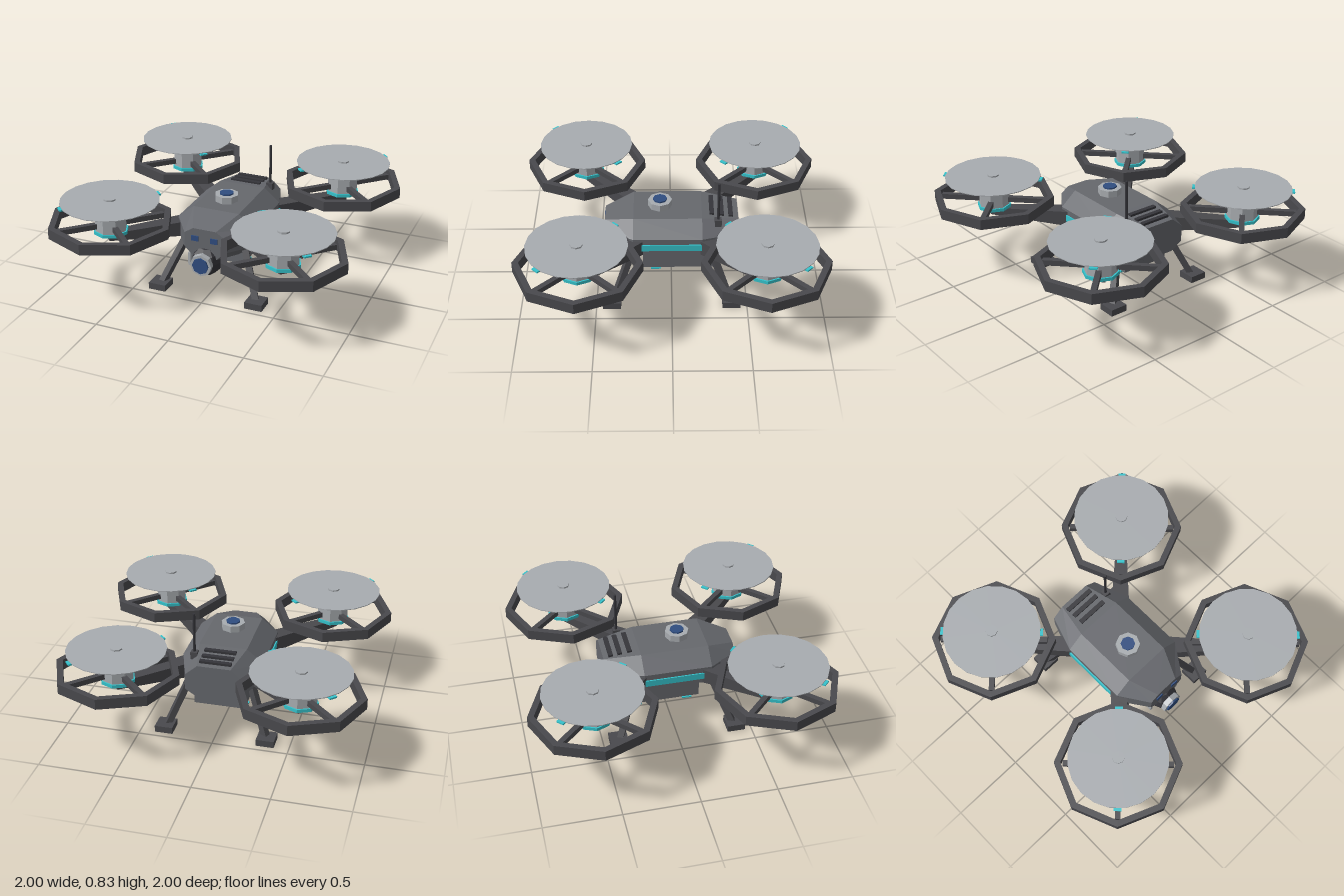
import * as THREE from 'three';

const mat = (name, color) => {
  const m = new THREE.MeshStandardMaterial({ color, flatShading: true });
  m.name = name;
  return m;
};

export function createModel() {
  const shell = mat('shell grey', 0x66686d);
  const frame = mat('frame dark grey', 0x49494d);
  const dark = mat('near black', 0x35353a);
  const light = mat('light grey', 0xa8acb0);
  const cyan = mat('cyan accent', 0x36c3cc);
  const blue = mat('lens blue', 0x2f4d80);

  const model = new THREE.Group();
  model.name = 'quadDrone';
  const add = (name, geo, material, x = 0, y = 0, z = 0, parent = model) => {
    const mesh = new THREE.Mesh(geo, material);
    mesh.name = name;
    mesh.position.set(x, y, z);
    parent.add(mesh);
    return mesh;
  };
  const box = (w, h, d) => new THREE.BoxGeometry(w, h, d);
  const cyl = (r, h, n = 8, r2 = r) => new THREE.CylinderGeometry(r, r2, h, n);
  // Square bar between two points
  const bar = (name, a, b, t, material, parent = model) => {
    const from = new THREE.Vector3(...a), to = new THREE.Vector3(...b);
    const mesh = add(name, box(t, t, from.distanceTo(to)), material, 0, 0, 0, parent);
    mesh.position.copy(from).add(to).multiplyScalar(0.5);
    mesh.quaternion.setFromUnitVectors(new THREE.Vector3(0, 0, 1), to.sub(from).normalize());
    return mesh;
  };

  // Hull: eight-sided sections joined from back to front
  const stations = [ // z, half width, top half width, top, upper edge, lower edge, bottom
    [-0.44, 0.19, 0.11, 0.53, 0.46, 0.35, 0.30],
    [-0.20, 0.27, 0.16, 0.56, 0.47, 0.35, 0.27],
    [0.25, 0.27, 0.16, 0.56, 0.47, 0.35, 0.27],
    [0.44, 0.14, 0.08, 0.50, 0.46, 0.36, 0.30],
  ];
  const rings = stations.map(([z, w, a, top, up, low, bot]) => [
    [a, bot, z], [w, low, z], [w, up, z], [a, top, z],
    [-a, top, z], [-w, up, z], [-w, low, z], [-a, bot, z],
  ]);
  const pos = [];
  const tri = (...p) => p.forEach((v) => pos.push(...v));
  for (let i = 0; i < rings.length - 1; i++) {
    for (let j = 0; j < 8; j++) {
      const k = (j + 1) % 8, r = rings[i], s = rings[i + 1];
      tri(r[j], r[k], s[k]);
      tri(r[j], s[k], s[j]);
    }
  }
  const back = rings[0], nose = rings[rings.length - 1];
  for (let j = 1; j < 7; j++) {
    tri(nose[0], nose[j], nose[j + 1]);
    tri(back[0], back[j + 1], back[j]);
  }
  const hull = new THREE.BufferGeometry();
  hull.setAttribute('position', new THREE.Float32BufferAttribute(pos, 3));
  hull.computeVertexNormals();
  add('hull', hull, shell);

  // Belly battery box with cyan straps
  add('batteryBox', box(0.34, 0.12, 0.49), shell, 0, 0.23, -0.055);
  for (const z of [0.105, -0.235]) add('batteryStrap', box(0.36, 0.009, 0.065), cyan, 0, 0.166, z);

  // Rear vents, antenna and top sensor
  for (const [z, y] of [[-0.39, 0.54], [-0.33, 0.547], [-0.265, 0.555]]) {
    add('vent', box(0.21, 0.02, 0.03), dark, 0, y, z);
  }
  add('antennaBase', box(0.045, 0.05, 0.045), frame, 0.163, 0.535, -0.305);
  add('antenna', cyl(0.009, 0.29, 6), dark, 0.163, 0.685, -0.305);
  add('sensorRing', cyl(0.08, 0.05), light, 0, 0.58, 0.075);
  add('sensorLens', cyl(0.047, 0.02), blue, 0, 0.605, 0.075);

  // Nose windows and gimbal camera
  for (const s of [-1, 1]) {
    add('noseWindow', box(0.05, 0.036, 0.009), blue, s * 0.066, 0.432, 0.443);
    add('sideStripe', box(0.009, 0.045, 0.4), cyan, s * 0.274, 0.408, 0);
    add('gimbalBracket', box(0.018, 0.09, 0.05), light, s * 0.115, 0.265, 0.4);
  }
  add('cameraBall', new THREE.SphereGeometry(0.105, 8, 6), dark, 0, 0.275, 0.4);
  add('gimbalMount', box(0.1, 0.08, 0.1), dark, 0, 0.33, 0.36);
  add('lensRing', cyl(0.075, 0.04), light, 0, 0.275, 0.485).rotation.x = Math.PI / 2;
  add('lens', cyl(0.056, 0.02), blue, 0, 0.275, 0.505).rotation.x = Math.PI / 2;

  // Tapered arm, thick at the hull and thin at the motor
  const armGeo = box(0.58, 0.11, 0.12);
  const p = armGeo.attributes.position;
  for (let i = 0; i < p.count; i++) {
    if (p.getX(i) > 0) p.setXYZ(i, p.getX(i), p.getY(i) * 0.45 + 0.02, p.getZ(i) * 0.5);
  }
  // Eight-sided rotor guard
  const octagon = (Type, r) => {
    const path = new Type();
    for (let i = 0; i < 8; i++) {
      const a = (i * Math.PI) / 4;
      path[i ? 'lineTo' : 'moveTo'](r * Math.cos(a), r * Math.sin(a));
    }
    path.closePath();
    return path;
  };
  const guardShape = octagon(THREE.Shape, 0.41);
  guardShape.holes.push(octagon(THREE.Path, 0.368));
  const guardGeo = new THREE.ExtrudeGeometry(guardShape, { depth: 0.07, bevelEnabled: false });
  guardGeo.rotateX(-Math.PI / 2);

  for (const sx of [-1, 1]) {
    for (const sz of [-1, 1]) {
      const out = Math.atan2(-sz, sx);
      add('arm', armGeo, frame, sx * 0.4, 0.4, sz * 0.4).rotation.y = out;

      const rotor = new THREE.Group();
      rotor.name = 'rotorUnit';
      rotor.position.set(sx * 0.59, 0, sz * 0.59);
      model.add(rotor);
      add('guard', guardGeo, frame, 0, 0.47, 0, rotor);
      for (let i = 0; i < 4; i++) {
        const a = Math.PI / 4 + (i * Math.PI) / 2, c = Math.cos(a), s = Math.sin(a);
        bar('guardStrut', [c * 0.08, 0.505, s * 0.08], [c * 0.355, 0.505, s * 0.355], 0.035, frame, rotor);
      }
      add('motorBand', cyl(0.115, 0.022), cyan, 0, 0.459, 0, rotor);
      add('motor', cyl(0.105, 0.13), light, 0, 0.53, 0, rotor);
      add('motorCap', cyl(0.077, 0.045), dark, 0, 0.62, 0, rotor);
      add('shaft', cyl(0.05, 0.02), dark, 0, 0.65, 0, rotor);
      add('rotorDisc', cyl(0.32, 0.005, 20), light, 0, 0.669, 0, rotor);
      add('hub', cyl(0.04, 0.03), light, 0, 0.667, 0, rotor);

      // Two blades with cyan tips under the disc
      const blades = new THREE.Group();
      blades.name = 'blades';
      blades.rotation.y = out;
      rotor.add(blades);
      for (const s of [-1, 1]) {
        add('blade', box(0.23, 0.01, 0.05), dark, s * 0.145, 0.661, 0, blades);
        add('bladeTip', box(0.075, 0.01, 0.05), cyan, s * 0.297, 0.661, 0, blades);
      }

      // Landing leg and foot
      bar('leg', [sx * 0.21, 0.33, sz * 0.265], [sx * 0.335, 0.025, sz * 0.385], 0.042, frame);
      add('foot', box(0.12, 0.045, 0.12), frame, sx * 0.342, 0.0225, sz * 0.397);
    }
  }
  return model;
}
